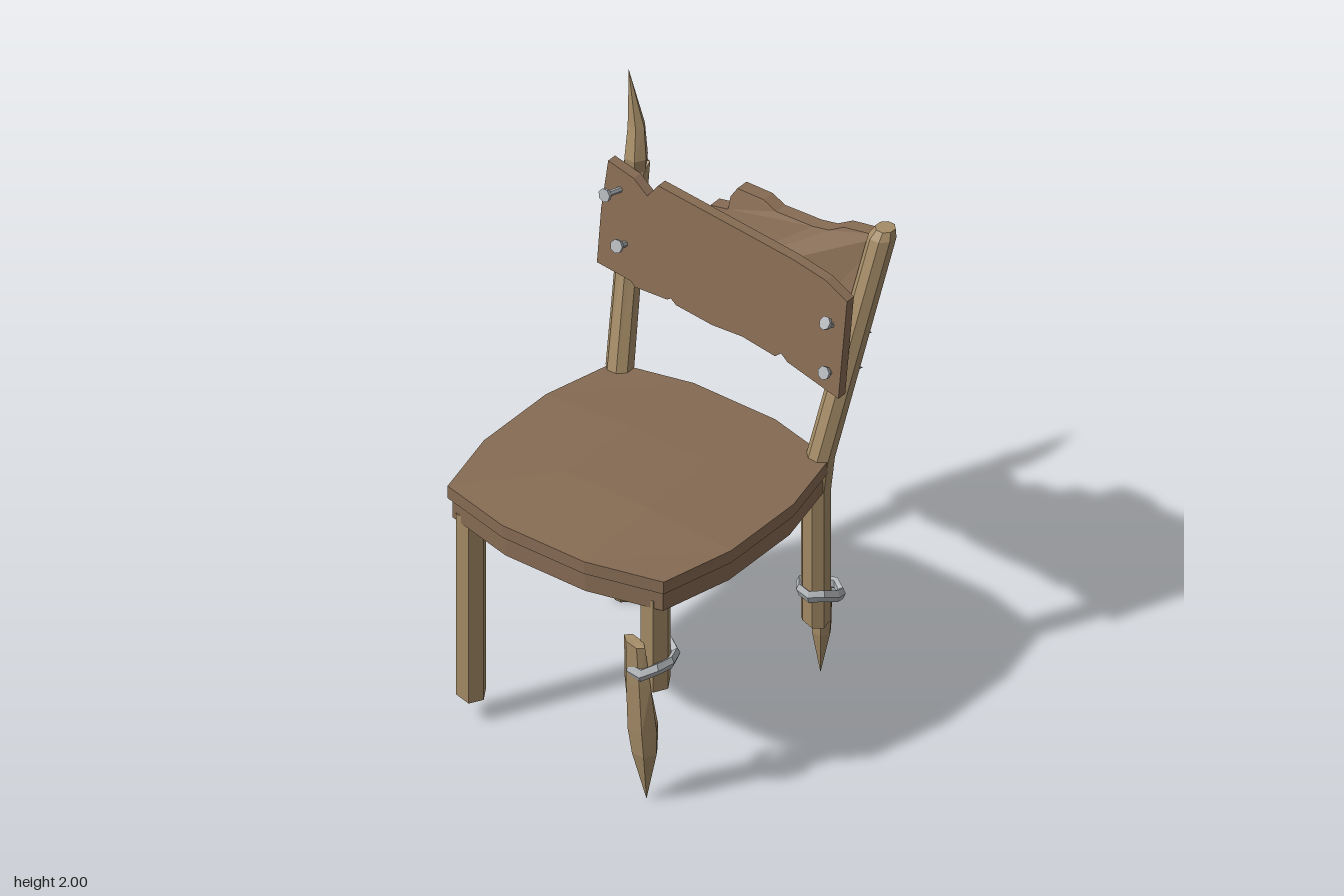
import * as THREE from 'three';

const paint = (name, color) => {
  const m = new THREE.MeshStandardMaterial({ color });
  m.name = name;
  return m;
};

// Faceted look through per-face normals
function flat(geo) {
  const g = geo.index ? geo.toNonIndexed() : geo;
  g.computeVertexNormals();
  return g;
}

function add(group, name, geo, material) {
  const mesh = new THREE.Mesh(geo, material);
  mesh.name = name;
  group.add(mesh);
  return mesh;
}

// Stick through rings [x, y, z, rx, rz], listed from top to bottom; jag roughens the ends
function stick(rings, sides, jagTop = 0, jagBottom = 0) {
  const last = rings.length - 1;
  const geo = new THREE.CylinderGeometry(1, 1, 1, sides, last, false, Math.PI / sides);
  const p = geo.attributes.position;
  for (let i = 0; i < p.count; i++) {
    const row = Math.round((0.5 - p.getY(i)) * last);
    const [cx, cy, cz, rx, rz = rx] = rings[row];
    const px = p.getX(i), pz = p.getZ(i);
    const jag = row === 0 ? jagTop : row === last ? jagBottom : 0;
    const rough = jag * Math.sin(px * 4 + pz * 2.5);
    p.setXYZ(i, cx + px * rx, cy + rough, cz + pz * rz);
  }
  return flat(geo);
}

// Seat slab: a box with rounded-out sides and a slightly domed top
function slab(y0, y1, scale, dome) {
  const geo = new THREE.BoxGeometry(2, 1, 2, 3, 1, 3);
  const p = geo.attributes.position;
  for (let i = 0; i < p.count; i++) {
    const u = p.getX(i), v = p.getZ(i);
    const edgeU = Math.abs(u) > 0.9, edgeV = Math.abs(v) > 0.9;
    const x = Math.sign(u) * (edgeU ? (edgeV ? 0.463 : 0.53) : 0.175);
    const z = Math.sign(v) * (edgeV ? (edgeU ? 0.46 : 0.53) : 0.172);
    const top = p.getY(i) > 0;
    const y = top ? y1 + (edgeU || edgeV ? 0 : dome) : y0;
    p.setXYZ(i, 0.005 + x * scale, y, 0.11 + z * scale);
  }
  return flat(geo);
}

// Rough board cut from an outline, then leaned and bent by zAt(x, y)
function board(outline, thickness, zAt) {
  const shape = new THREE.Shape(outline.map(([x, y]) => new THREE.Vector2(x, y)));
  const geo = new THREE.ExtrudeGeometry(shape, { depth: thickness, bevelEnabled: false });
  const p = geo.attributes.position;
  for (let i = 0; i < p.count; i++) p.setZ(i, p.getZ(i) + zAt(p.getX(i), p.getY(i)));
  return flat(geo);
}

// Nail with a flat head at one end and a point at the other
function nail(head, tip, material) {
  const a = new THREE.Vector3(...head), b = new THREE.Vector3(...tip);
  const length = a.distanceTo(b);
  const g = new THREE.Group();
  g.name = 'nail';
  add(g, 'nailHead', flat(new THREE.CylinderGeometry(0.025, 0.022, 0.016, 7)), material);
  add(g, 'nailShaft', stick([[0, 0, 0, 0.011], [0, -length * 0.8, 0, 0.01], [0, -length, 0, 0]], 6), material);
  g.position.copy(a);
  g.quaternion.setFromUnitVectors(new THREE.Vector3(0, 1, 0), a.sub(b).normalize());
  return g;
}

// Crooked metal band around a mended leg
function band(x, y, z, rx, rz, tiltX, tiltZ) {
  const geo = new THREE.TorusGeometry(1, 0.2, 5, 9);
  geo.rotateX(Math.PI / 2);
  const p = geo.attributes.position;
  for (let i = 0; i < p.count; i++) {
    const px = p.getX(i), pz = p.getZ(i);
    const wave = 0.009 * Math.sin(Math.atan2(pz, px) * 3);
    p.setXYZ(i, x + px * rx, y + p.getY(i) * 0.125 + px * tiltX + pz * tiltZ + wave, z + pz * rz);
  }
  return flat(geo);
}

export function createModel() {
  const chair = new THREE.Group();
  chair.name = 'chair';
  const boardWood = paint('boardWood', 0x866b53);
  const legWood = paint('legWood', 0xa58c67);
  const metal = paint('metal', 0xb0b4b7);

  // Seat
  add(chair, 'seatTop', slab(0.9, 0.95, 1, 0.023), boardWood);
  add(chair, 'seatBase', slab(0.82, 0.9, 0.975, 0), boardWood);

  // Front legs: the right one is chipped, the left one snapped half way
  add(chair, 'frontRightLeg', stick([[-0.395, 0.85, 0.522, 0.055], [-0.395, 0.1, 0.522, 0.055]], 6, 0, 0.015), legWood);
  add(chair, 'frontLeftLeg', stick([[0.395, 0.85, 0.522, 0.055], [0.395, 0.49, 0.522, 0.055]], 6, 0, 0.02), legWood);

  // Back legs running up into the leaning posts
  add(chair, 'backRightPost', stick([
    [-0.505, 1.66, -0.54, 0.046], [-0.43, 0.95, -0.348, 0.05], [-0.413, 0.82, -0.345, 0.053],
    [-0.413, 0.05, -0.345, 0.053], [-0.413, 0, -0.345, 0.032],
  ], 8, 0.02), legWood);
  add(chair, 'backRightSpike', stick([
    [-0.56, 2, -0.565, 0], [-0.516, 1.8, -0.55, 0.034, 0.03], [-0.5, 1.69, -0.528, 0.043], [-0.5, 1.6, -0.528, 0.036],
  ], 6), legWood);
  add(chair, 'backLeftPost', stick([
    [0.522, 1.8, -0.588, 0.036], [0.517, 1.77, -0.578, 0.049], [0.43, 0.95, -0.348, 0.05],
    [0.413, 0.82, -0.345, 0.053], [0.413, 0.27, -0.345, 0.053],
  ], 8, 0, 0.012), legWood);

  // Pointed stakes that splint the snapped legs
  add(chair, 'frontStake', stick([
    [0.355, 0.665, 0.585, 0.045, 0.022], [0.36, 0.5, 0.575, 0.056, 0.032], [0.363, 0.3, 0.55, 0.06, 0.052],
    [0.37, 0.2, 0.548, 0.05, 0.045], [0.375, 0, 0.545, 0],
  ], 6, 0.012), legWood);
  add(chair, 'backStake', stick([
    [0.388, 0.47, -0.405, 0.035, 0.028], [0.388, 0.3, -0.41, 0.04, 0.034],
    [0.386, 0.17, -0.41, 0.036, 0.034], [0.385, 0, -0.405, 0],
  ], 6, 0.012), legWood);

  // Metal bands
  add(chair, 'frontBand', band(0.385, 0.575, 0.525, 0.078, 0.08, 0.016, -0.016), metal);
  add(chair, 'backBand', band(0.415, 0.38, -0.365, 0.07, 0.076, 0, 0.022), metal);

  // Front back-rest board
  add(chair, 'frontBoard', board([
    [-0.56, 1.3], [-0.41, 1.29], [-0.39, 1.275], [-0.25, 1.285], [-0.235, 1.295], [-0.21, 1.28], [-0.05, 1.27],
    [0.08, 1.28], [0.225, 1.265], [0.25, 1.285], [0.28, 1.265], [0.51, 1.22],
    [0.497, 1.58], [0.4, 1.62], [0.25, 1.64], [0, 1.655], [-0.345, 1.675], [-0.385, 1.62],
    [-0.45, 1.66], [-0.565, 1.68], [-0.57, 1.5],
  ], 0.038, (x, y) => -0.437 + 0.03 * x - 0.18 * (y - 1.45)), boardWood);

  // Rear back-rest board, broken away towards the right
  add(chair, 'rearBoard', board([
    [-0.46, 1.275], [-0.3, 1.28], [-0.12, 1.275], [0.05, 1.27], [0.2, 1.27], [0.35, 1.26], [0.47, 1.24],
    [0.525, 1.77], [0.46, 1.755], [0.35, 1.73], [0.29, 1.695], [0.22, 1.68], [0.06, 1.67], [0, 1.69],
    [-0.11, 1.69], [-0.13, 1.655], [-0.13, 1.61], [-0.2, 1.6], [-0.23, 1.55], [-0.32, 1.54],
    [-0.35, 1.5], [-0.46, 1.48],
  ], 0.05, (x, y) => -0.6 - 0.32 * (y - 1.7) - 0.04 * (1 - (x / 0.5) ** 2)), boardWood);

  // Nails driven through board and posts
  [
    [[-0.505, 1.615, -0.365], [-0.495, 1.58, -0.52]],
    [[-0.45, 1.43, -0.36], [-0.455, 1.36, -0.545]],
    [[0.44, 1.49, -0.365], [0.485, 1.36, -0.565]],
    [[0.458, 1.31, -0.335], [0.475, 1.235, -0.525]],
  ].forEach(([head, tip]) => chair.add(nail(head, tip, metal)));

  return chair;
}
